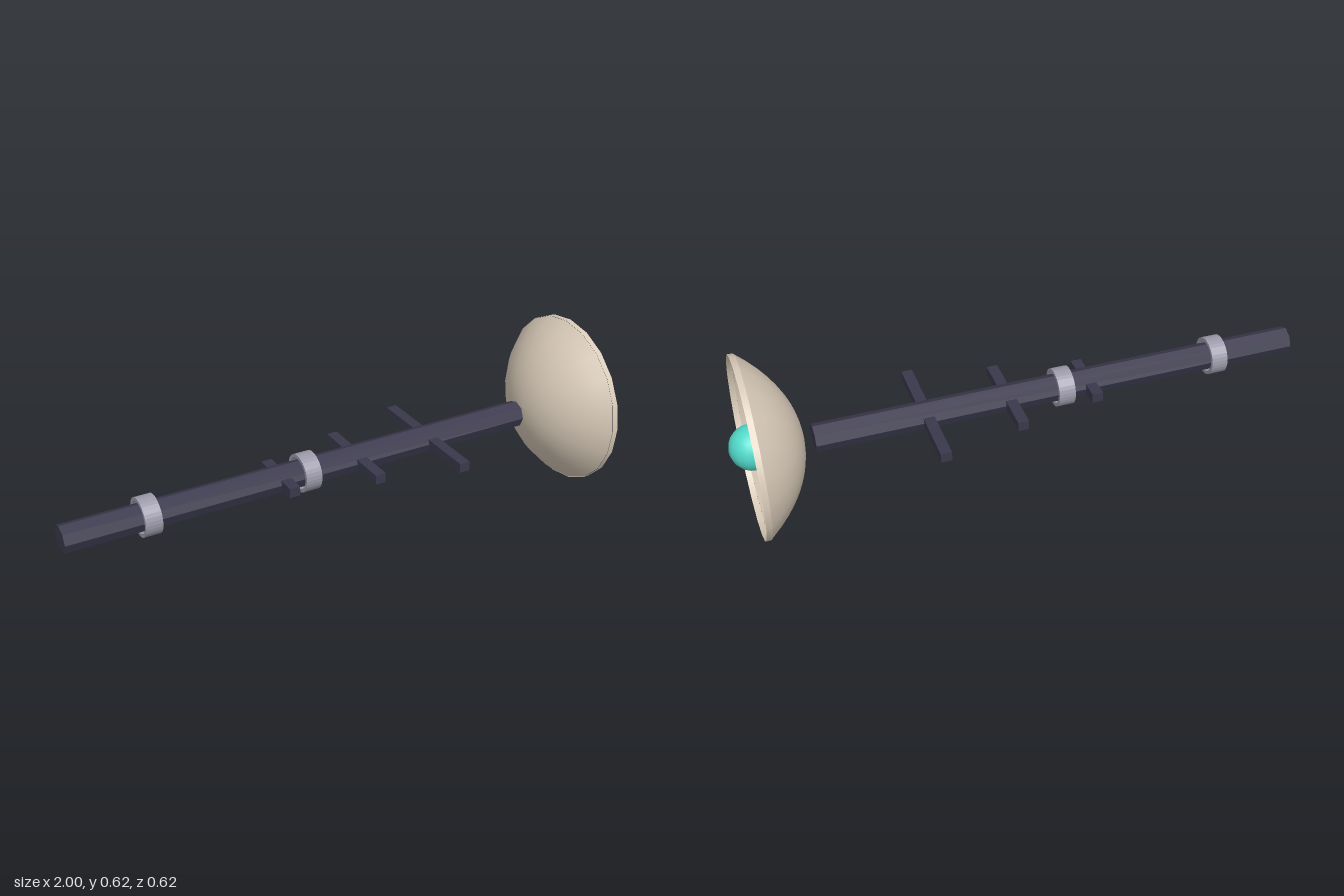
import * as THREE from 'three';

export function createModel() {
  const group = new THREE.Group();
  const mat = (name, color, extra = {}) => {
    const m = new THREE.MeshStandardMaterial({ color, ...extra });
    m.name = name;
    return m;
  };
  const darkMetal = mat('dark metal', 0x3a384c, { flatShading: true });
  const greyMetal = mat('grey metal', 0x9c9aaa);
  const cream = mat('cream shell', 0xd8cab8, { side: THREE.DoubleSide });
  const teal = mat('teal glow', 0x52dacb);

  const add = (name, geometry, material, x, y) => {
    const mesh = new THREE.Mesh(geometry, material);
    mesh.name = name;
    mesh.position.set(x, y, 0);
    group.add(mesh);
    return mesh;
  };
  // turns a +y axis into +x
  const alongX = (geometry) => geometry.rotateZ(-Math.PI / 2);
  const boomY = 0.293, dishY = 0.3085;

  // Long octagonal boom
  add('boom', alongX(new THREE.CylinderGeometry(0.048, 0.048, 1.725, 8)), darkMetal, -0.1375, boomY);

  // Hollow collars around the boom
  const ringShape = new THREE.Shape().absarc(0, 0, 0.067, 0, Math.PI * 2);
  ringShape.holes.push(new THREE.Path().absarc(0, 0, 0.055, 0, Math.PI * 2, true));
  for (const x of [-0.712, -0.14]) {
    const ring = new THREE.ExtrudeGeometry(ringShape, { depth: 0.058, bevelEnabled: false, curveSegments: 16 });
    ring.translate(0, 0, -0.029).rotateY(Math.PI / 2);
    add('collar', ring, greyMetal, x, boomY);
  }

  // Crossbars growing toward the dish
  for (const [x, length] of [[-0.234, 0.21], [0.055, 0.336], [0.343, 0.48]]) {
    add('crossbar', new THREE.BoxGeometry(0.038, 0.034, length), darkMetal, x, boomY);
  }

  // Shallow bowl with its open side toward +x
  const bowl = [];
  for (let i = 0; i <= 10; i++) {
    const t = i / 10;
    bowl.push(new THREE.Vector2(0.307 * t, 0.167 * (0.85 * t ** 2 + 0.15 * t ** 4)));
  }
  add('dish', alongX(new THREE.LatheGeometry(bowl, 20)), cream, 0.757, dishY);

  // Narrow straight lip of the bowl
  add('dishLip', alongX(new THREE.CylinderGeometry(0.308, 0.308, 0.02, 20, 1, true)), cream, 0.934, dishY);

  // Glowing feed ball
  add('feedBall', new THREE.SphereGeometry(0.077, 16, 12), teal, 0.923, dishY);

  return group;
}
